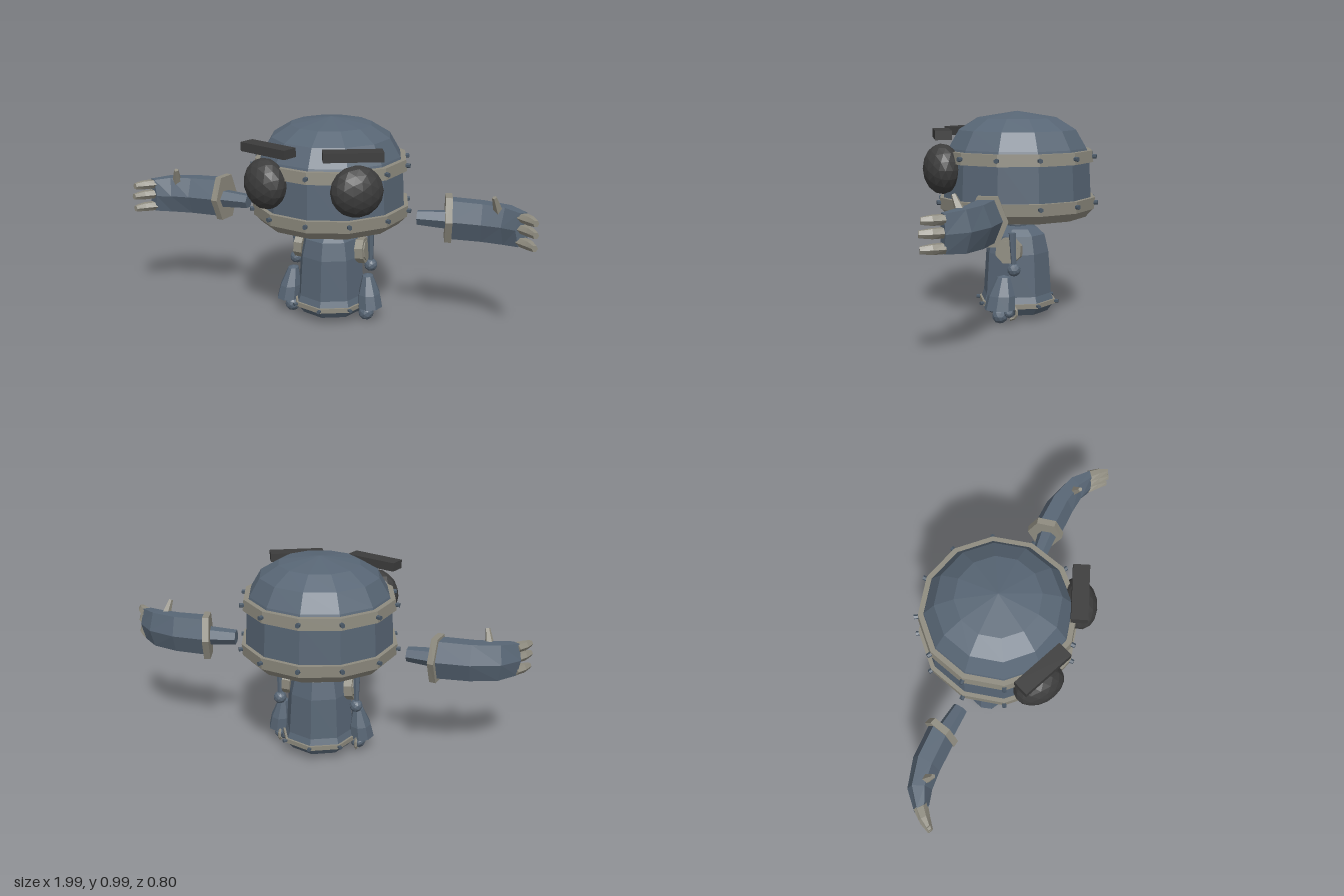
import * as THREE from 'three';

const mat = (name, color) => {
  const m = new THREE.MeshStandardMaterial({ color, flatShading: true });
  m.name = name;
  return m;
};

export function createModel() {
  const steel = mat('blue steel', 0x586675);
  const trim = mat('tan trim', 0x8e8b7f);
  const dark = mat('dark iron', 0x3c3c3c);
  const bolt = mat('rivet steel', 0x4a5866);
  const root = new THREE.Group();
  root.name = 'robot';
  const CZ = -0.01;

  const add = (name, geo, m, parent = root) => {
    const mesh = new THREE.Mesh(geo, m);
    mesh.name = name;
    parent.add(mesh);
    return mesh;
  };

  // Adds a part on the +x side and its mirrored copy on the -x side
  const pair = (name, geo, m) => {
    const g = geo.index ? geo.toNonIndexed() : geo;
    add(name + 'Left', g, m);
    const r = g.clone().scale(-1, 1, 1);
    const p = r.attributes.position;
    for (let i = 0; i < p.count; i += 3) {
      const a = new THREE.Vector3().fromBufferAttribute(p, i + 1);
      const b = new THREE.Vector3().fromBufferAttribute(p, i + 2);
      p.setXYZ(i + 1, b.x, b.y, b.z);
      p.setXYZ(i + 2, a.x, a.y, a.z);
    }
    r.computeVertexNormals();
    add(name + 'Right', r, m);
  };

  const lathe = (name, pts, sides, m) => {
    const g = new THREE.LatheGeometry(pts.map(p => new THREE.Vector2(...p)), sides);
    add(name, g.translate(0, 0, CZ), m);
  };

  const ball = (x, y, z, r, detail = 1) => new THREE.IcosahedronGeometry(r, detail).translate(x, y, z);

  // Tapered rod between two points
  const rod = (a, b, ra, rb, sides) => {
    const A = new THREE.Vector3(...a), B = new THREE.Vector3(...b), d = B.clone().sub(A);
    const g = new THREE.CylinderGeometry(rb, ra, d.length(), sides);
    g.applyQuaternion(new THREE.Quaternion().setFromUnitVectors(new THREE.Vector3(0, 1, 0), d.normalize()));
    return g.translate(...A.add(B).multiplyScalar(0.5).toArray());
  };

  // Hexagonal loft; each row is [outer x, outer z, inner x, inner z, half height]
  const loft = (rows, yc) => {
    const prof = [[0, 0], [0.25, 1], [0.75, 1], [1, 0], [0.75, -1], [0.25, -1]];
    const pos = [], idx = [];
    for (const [xo, zo, xi, zi, h] of rows)
      for (const [t, k] of prof) pos.push(xo + (xi - xo) * t, yc + h * k, zo + (zi - zo) * t);
    const last = (rows.length - 1) * 6;
    for (let r = 0; r < last; r += 6)
      for (let i = 0; i < 6; i++) {
        const j = (i + 1) % 6;
        idx.push(r + i, r + j, r + 6 + i, r + j, r + 6 + j, r + 6 + i);
      }
    for (let i = 1; i < 5; i++) idx.push(0, i + 1, i, last, last + i, last + i + 1);
    const g = new THREE.BufferGeometry();
    g.setAttribute('position', new THREE.Float32BufferAttribute(pos, 3));
    g.setIndex(idx);
    g.computeVertexNormals();
    return g;
  };

  const rivets = (name, n, radius, y, size) => {
    const group = new THREE.Group();
    group.name = name;
    for (let i = 0; i < n; i++) {
      const a = (i / n) * Math.PI * 2;
      const g = new THREE.CylinderGeometry(size, size, 0.03, 6).rotateX(Math.PI / 2);
      g.translate(0, 0, radius).rotateY(a).translate(0, y, CZ);
      add('rivet', g, bolt, group);
    }
    root.add(group);
  };

  // Head: dome and wall, tan underside, two riveted bands
  lathe('headShell', [[0.36, 0.535], [0.348, 0.78], [0.335, 0.82], [0.285, 0.905], [0.195, 0.96], [0, 0.992]], 12, steel);
  lathe('headUnderside', [[0, 0.495], [0.333, 0.495], [0.372, 0.537]], 12, trim);
  const band = (name, y0, y1, r0, r1, inner, sides) =>
    lathe(name, [[inner, y0], [r0, y0], [r1, y1], [inner, y1]], sides, trim);
  band('upperBand', 0.756, 0.81, 0.368, 0.363, 0.33, 12);
  band('lowerBand', 0.535, 0.59, 0.374, 0.378, 0.34, 12);
  rivets('upperRivets', 12, 0.368, 0.783, 0.011);
  rivets('lowerRivets', 12, 0.377, 0.566, 0.011);

  // Eyes and brows
  pair('eye', new THREE.IcosahedronGeometry(1, 2).scale(0.122, 0.118, 0.086)
    .rotateY(0.61).translate(0.216, 0.728, 0.296), dark);
  pair('brow', new THREE.BoxGeometry(0.266, 0.042, 0.076).rotateY(0.384).translate(0.198, 0.889, 0.3), dark);

  // Body with belt and neck ball
  lathe('body', [[0, 0.03], [0.15, 0.03], [0.185, 0.075], [0.168, 0.12], [0.155, 0.32],
    [0.135, 0.405], [0.1, 0.435], [0, 0.45]], 8, steel);
  band('belt', 0.068, 0.09, 0.19, 0.19, 0.15, 8);
  rivets('beltRivets', 8, 0.19, 0.08, 0.009);
  add('neckBall', ball(0, 0.45, CZ, 0.047), steel);

  // Shoulder plates on the sides of the body
  const plate = (r, x, w) => new THREE.CylinderGeometry(r, r, w, 8).rotateZ(Math.PI / 2)
    .rotateX(Math.PI / 8).rotateZ(0.08).translate(x, 0.345, CZ);
  pair('shoulderRing', plate(0.064, 0.155, 0.04), trim);
  pair('shoulderPlate', plate(0.048, 0.174, 0.012), trim);

  // Side rods with ball ends
  pair('sideRod', rod([0.192, 0.27, -0.043], [0.192, 0.435, -0.035], 0.012, 0.017, 6), steel);
  pair('rodBall', ball(0.192, 0.262, -0.043, 0.032), steel);

  // Feet: tapered shells with a roller ball, a small joint and a heel hook
  const shell = new THREE.LatheGeometry([[0, 0.07], [0.075, 0.075], [0.066, 0.14], [0.032, 0.225], [0, 0.235]]
    .map(p => new THREE.Vector2(...p)), 8);
  const sp = shell.attributes.position;
  for (let i = 0; i < sp.count; i++) {
    const t = (sp.getY(i) - 0.07) / 0.165;
    sp.setX(i, sp.getX(i) * 0.8 + 0.21 - t * 0.02);
    sp.setZ(i, sp.getZ(i) + 0.022 - t * 0.016);
  }
  pair('footShell', shell, steel);
  pair('footBall', ball(0.19, 0.039, 0.025, 0.038), steel);
  pair('heelJoint', ball(0.205, 0.057, -0.022, 0.023), steel);
  pair('heelHook', new THREE.TorusGeometry(0.033, 0.007, 4, 5, Math.PI)
    .rotateZ(-Math.PI / 2).rotateY(Math.PI / 2).translate(0.195, 0.057, -0.025), trim);

  // Floating arms: wrist, cuff, glove, fingers and thumb
  pair('wrist', rod([0.425, 0.54, 0], [0.56, 0.54, -0.012], 0.036, 0.046, 6), steel);
  pair('cuff', loft([[0.532, -0.105, 0.57, 0.062, 0.108], [0.562, -0.114, 0.602, 0.058, 0.108]], 0.544), trim);
  pair('glove', loft([
    [0.55, -0.092, 0.58, 0.05, 0.092], [0.725, -0.088, 0.73, 0.05, 0.09],
    [0.865, -0.045, 0.82, 0.058, 0.088], [0.948, 0.035, 0.888, 0.078, 0.08]], 0.546), steel);
  for (const [y, s] of [[0.602, 0.94], [0.55, 1], [0.488, 0.97]]) {
    const end = 0.94 + 0.057 * s;
    pair('finger', loft([
      [0.942, 0.032, 0.89, 0.07, 0.02], [0.975, 0.075, 0.935, 0.105, 0.02],
      [end, 0.127 * s, end - 0.025, 0.139 * s, 0.014]], y), trim);
  }
  pair('thumb', rod([0.805, 0.6, 0.012], [0.785, 0.684, 0.055], 0.026, 0.011, 5), trim);
  return root;
}
